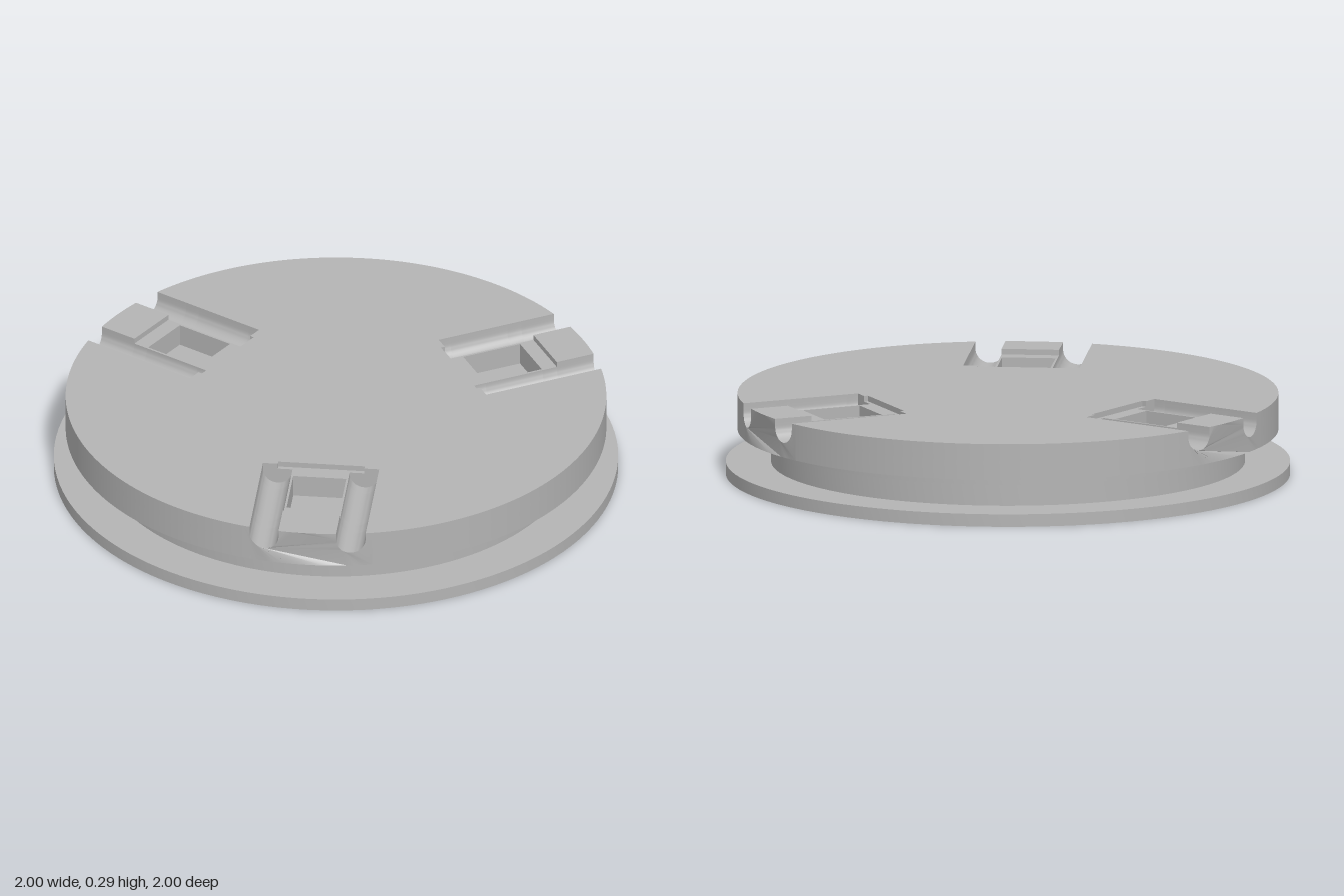
import * as THREE from 'three';
import { toCreasedNormals } from 'three/addons/utils/BufferGeometryUtils.js';

const TOP = 0.29, RIM_Y = 0.16, RIM_R = 0.958, NECK_R = 0.84;
const STEP_Y = 0.27, POCKET_Y = 0.19;          // levels inside a slot
const SLOT_W = 0.23, SLOT_T = 0.475;           // half width and inner end of a slot
const GROOVE_X = 0.155, GROOVE_R = 0.0525, GROOVE_Y = 0.265;

const grey = new THREE.MeshStandardMaterial({ color: 0xb4b4b4 });
grey.name = 'grey';

const rad = THREE.MathUtils.degToRad;

function makeMesh(name, geo) {
  const mesh = new THREE.Mesh(toCreasedNormals(geo, 0.5), grey);
  mesh.name = name;
  return mesh;
}

// Horizontal slab between two heights, with round holes at the given angles
function slab(name, shape, y0, y1, holeAngles = [], holeDist = 0, holeR = 0) {
  for (const a of holeAngles) {
    const hole = new THREE.Path();
    hole.absarc(holeDist * Math.cos(rad(a)), holeDist * Math.sin(rad(a)), holeR, 0, Math.PI * 2, true);
    shape.holes.push(hole);
  }
  const geo = new THREE.ExtrudeGeometry(shape, { depth: y1 - y0, bevelEnabled: false, curveSegments: 64 });
  geo.rotateX(-Math.PI / 2).translate(0, y0, 0);
  return makeMesh(name, geo);
}

function circle(r) {
  return new THREE.Shape().absarc(0, 0, r, 0, Math.PI * 2, false);
}

// Disc outline with three rectangular openings for the slots
function notchedCircle() {
  const shape = new THREE.Shape();
  const half = Math.asin(SLOT_W / RIM_R);
  for (let k = 0; k < 3; k++) {
    const start = rad(90 + 120 * k), end = start + rad(120);
    shape.absarc(0, 0, RIM_R, start + half, end - half, false);
    for (const side of [1, -1]) {
      const s = side * SLOT_W;
      shape.lineTo(SLOT_T * Math.cos(end) + s * Math.sin(end), SLOT_T * Math.sin(end) - s * Math.cos(end));
    }
  }
  shape.closePath();
  return shape;
}

// Round-bottomed groove, from left to right
function groove(cx) {
  const pts = [];
  for (let i = 0; i <= 20; i++) {
    const a = Math.PI + (Math.PI * i) / 20;
    pts.push([cx + GROOVE_R * Math.cos(a), GROOVE_Y + GROOVE_R * Math.sin(a)]);
  }
  return pts;
}

// Cross-section with two grooves and a raised, stepped or pocketed middle
function groovedProfile(midY, pocket) {
  const outer = GROOVE_X + GROOVE_R, inner = GROOVE_X - GROOVE_R;
  const mid = [];
  if (pocket) {
    mid.push([-inner, STEP_Y], [-0.095, STEP_Y], [-0.095, POCKET_Y],
      [0.095, POCKET_Y], [0.095, STEP_Y], [inner, STEP_Y]);
  } else {
    for (let i = 0; i <= 8; i++) mid.push([-inner + (2 * inner * i) / 8, midY]);
  }
  return [[-SLOT_W, TOP], [-outer, TOP], ...groove(-GROOVE_X), ...mid,
    ...groove(GROOVE_X), [outer, TOP], [SLOT_W, TOP]];
}

// Extrude a slot cross-section from distance t0 to t1 (or out to the round rim)
function slotPiece(name, profile, t0, t1, toRim = false) {
  const pts = [...profile];
  for (let i = 0; i <= 16; i++) pts.push([SLOT_W - (2 * SLOT_W * i) / 16, RIM_Y]);
  const shape = new THREE.Shape(pts.map(([x, y]) => new THREE.Vector2(x, y)));
  const geo = new THREE.ExtrudeGeometry(shape, { depth: t1 - t0, bevelEnabled: false });
  geo.translate(0, 0, -t1);
  if (toRim) {
    const p = geo.attributes.position;
    for (let i = 0; i < p.count; i++) {
      if (p.getZ(i) < -t1 + 1e-4) p.setZ(i, -Math.sqrt(RIM_R ** 2 - p.getX(i) ** 2));
    }
    geo.computeVertexNormals();
  }
  return makeMesh(name, geo);
}

function makeSlot() {
  const slot = new THREE.Group();
  slot.name = 'clampSlot';
  const endProfile = [[-SLOT_W, TOP], [-GROOVE_X, TOP], [-GROOVE_X, STEP_Y],
    [GROOVE_X, STEP_Y], [GROOVE_X, TOP], [SLOT_W, TOP]];
  slot.add(
    slotPiece('slotEnd', endProfile, SLOT_T, 0.49),
    slotPiece('innerStep', groovedProfile(STEP_Y), 0.49, 0.535),
    slotPiece('pocket', groovedProfile(STEP_Y, true), 0.535, 0.755),
    slotPiece('outerStep', groovedProfile(STEP_Y), 0.755, 0.81),
    slotPiece('outerBlock', groovedProfile(TOP), 0.81, 1, true),
  );
  return slot;
}

export function createModel() {
  const model = new THREE.Group();
  model.name = 'slottedDisc';

  // Base plate and neck, with three blind holes from below
  const baseHoles = [-90, 30, 150];
  model.add(
    slab('basePlate', circle(1), 0, 0.045, baseHoles, 0.765, 0.035),
    slab('lowerNeck', circle(NECK_R), 0.045, 0.12, baseHoles, 0.765, 0.035),
    slab('upperNeck', circle(NECK_R), 0.12, RIM_Y),
  );

  // Upper disc, with six blind holes under its overhang
  const rimHoles = [0, 60, 120, 180, 240, 300];
  model.add(
    slab('lowerDisc', notchedCircle(), RIM_Y, 0.23, rimHoles, 0.9, 0.045),
    slab('upperDisc', notchedCircle(), 0.23, TOP),
  );

  // Three slots around the disc
  for (let k = 0; k < 3; k++) {
    const slot = makeSlot();
    slot.rotation.y = rad(120 * k);
    model.add(slot);
  }
  return model;
}
